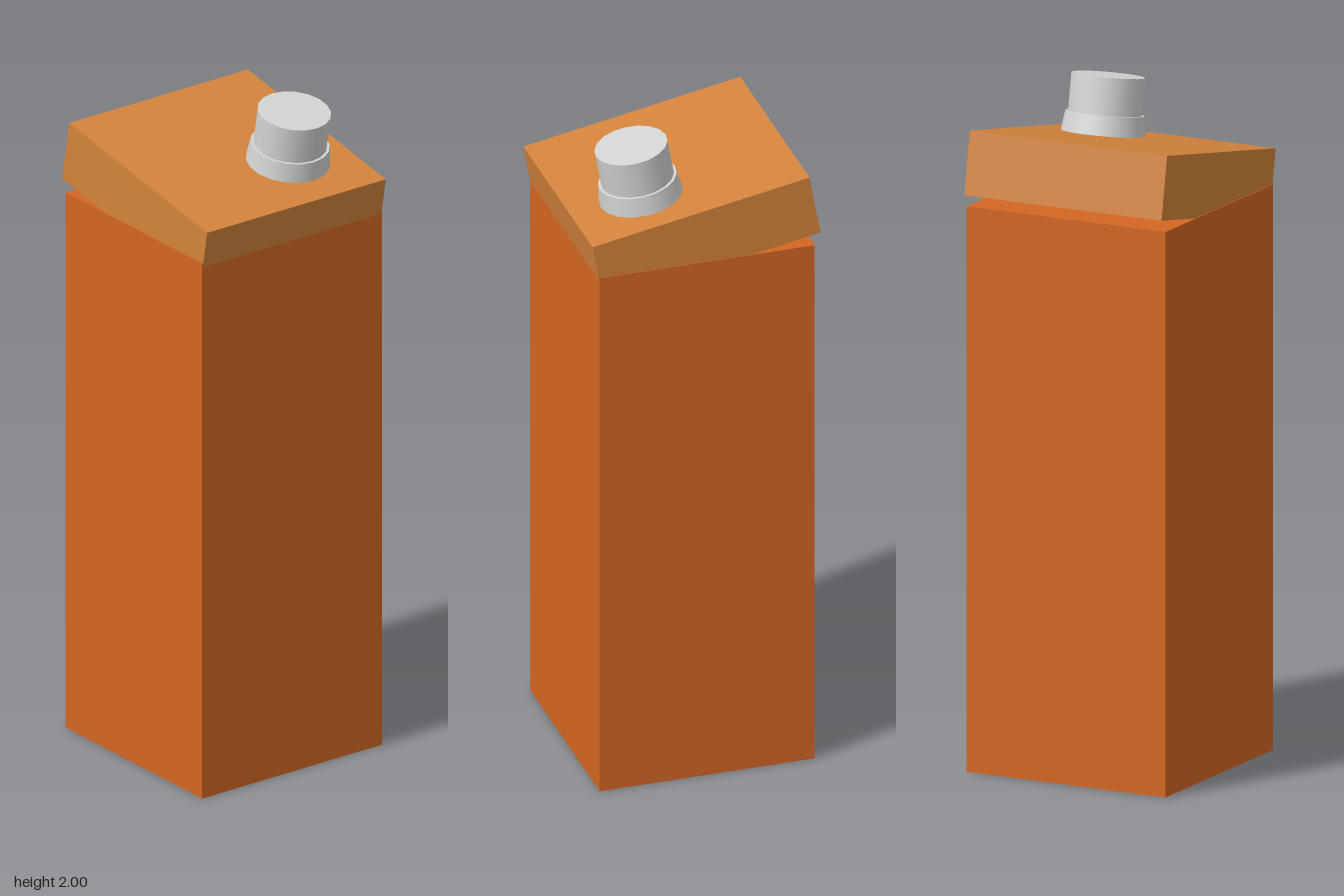
import * as THREE from 'three';

export function createModel() {
  const carton = new THREE.Group();
  carton.name = 'carton';

  const orange = new THREE.MeshStandardMaterial({ color: 0xd46623 });
  orange.name = 'orange';
  const tan = new THREE.MeshStandardMaterial({ color: 0xd4843c });
  tan.name = 'tan';
  const white = new THREE.MeshStandardMaterial({ color: 0xd2d5d3 });
  white.name = 'paleGrey';

  const add = (parent, name, geometry, material, x, y, z) => {
    const mesh = new THREE.Mesh(geometry, material);
    mesh.name = name;
    mesh.position.set(x, y, z);
    parent.add(mesh);
  };

  // Tall square body
  const bodyHeight = 1.675;
  add(carton, 'body', new THREE.BoxGeometry(0.65, bodyHeight, 0.65), orange, 0, bodyHeight / 2, 0);

  // Sloping top, lower at the front, carrying the spout
  const top = new THREE.Group();
  top.name = 'slopedTop';
  top.position.set(0, 1.745, 0.001);
  top.rotation.x = THREE.MathUtils.degToRad(10.3);
  carton.add(top);

  const lidHeight = 0.188;
  add(top, 'lid', new THREE.BoxGeometry(0.645, lidHeight, 0.667), tan, 0, 0, 0);

  // Spout collar and screw cap, square to the slope
  const collarHeight = 0.058, capHeight = 0.11, spoutX = 0.128, spoutZ = 0.121;
  const collarY = lidHeight / 2 + collarHeight / 2;
  add(top, 'spoutCollar', new THREE.CylinderGeometry(0.115, 0.123, collarHeight, 18), white, spoutX, collarY, spoutZ);
  add(top, 'screwCap', new THREE.CylinderGeometry(0.107, 0.107, capHeight, 18), white,
    spoutX, lidHeight / 2 + collarHeight + capHeight / 2, spoutZ);

  return carton;
}
